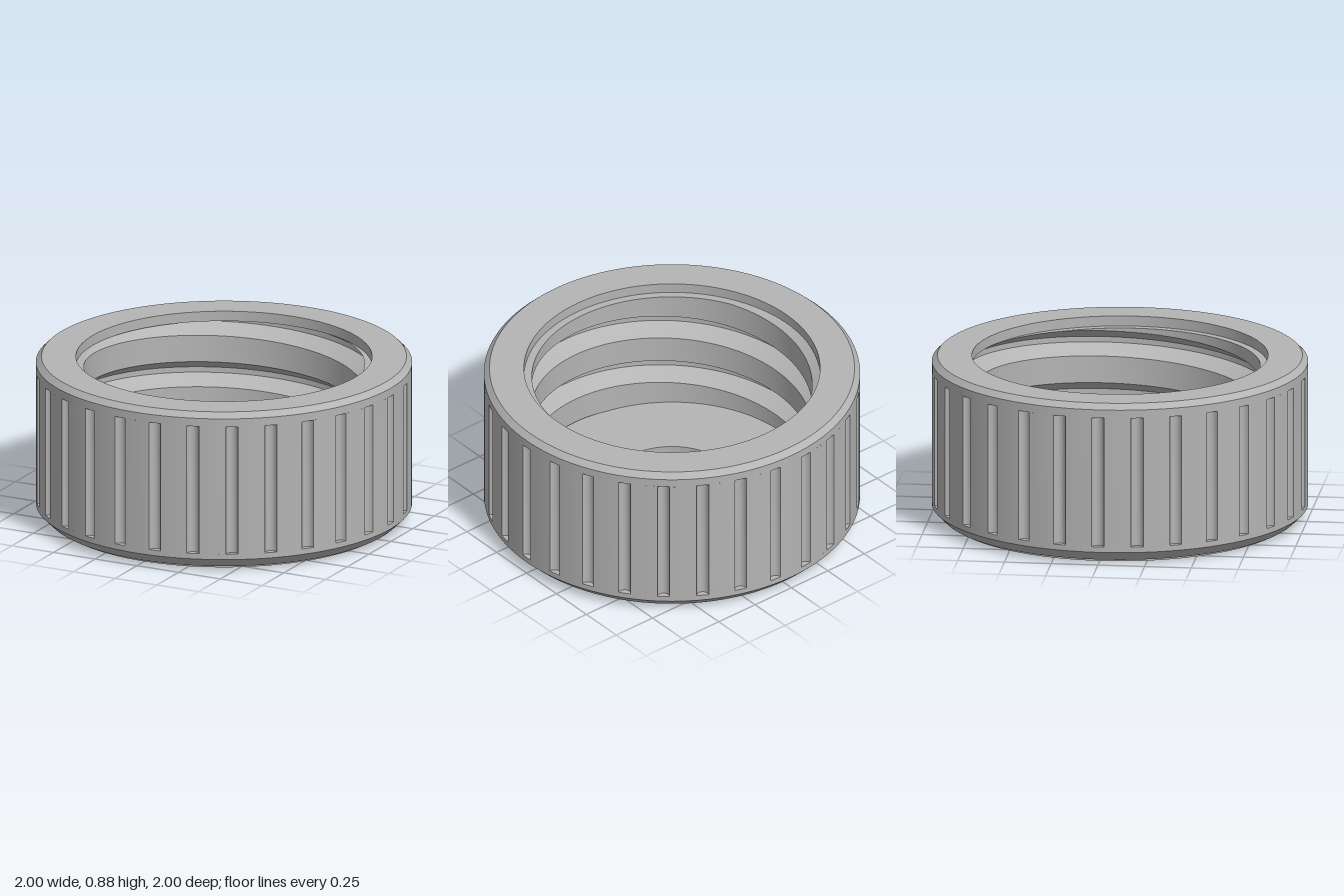
import * as THREE from 'three';
import { toCreasedNormals } from 'three/addons/utils/BufferGeometryUtils.js';

const SEGMENTS = 180;
const FLOOR = 0.15, LEDGE = 0.83;        // heights of the bore floor and the ledge above the thread
const GRIP_LOW = 0.1, GRIP_HIGH = 0.81;  // ends of the grip slots
const CREST = 0.745, DEPTH = 0.085, PITCH = 0.287, START = 0.664;

const polar = (r, y, t) => new THREE.Vector3(r * Math.sin(t), y, r * Math.cos(t));

// Skin over rows of points that each run once around the axis
function skin(rows) {
  const n = rows[0].length, index = [];
  for (let j = 0; j < rows.length - 1; j++) {
    for (let i = 0; i < n - 1; i++) {
      const a = j * n + i, b = a + 1, c = b + n, d = a + n;
      index.push(a, b, d, b, c, d);
    }
  }
  const geometry = new THREE.BufferGeometry().setFromPoints(rows.flat());
  geometry.setIndex(index);
  return geometry;
}

const lathe = (points) =>
  new THREE.LatheGeometry(points.map(([r, y]) => new THREE.Vector2(r, y)), SEGMENTS);

// Radius of the threaded wall: a V-shaped helical groove with a narrow flat root
function threadRadius(y, t) {
  const turns = (y - START) / PITCH - t / (2 * Math.PI);
  const off = Math.abs(turns - Math.round(turns)) * PITCH;
  return CREST + DEPTH * THREE.MathUtils.clamp((0.07 - off) / 0.055, 0, 1);
}

function threadWall() {
  const angles = Array.from({ length: SEGMENTS + 1 }, (_, i) => (i / SEGMENTS) * 2 * Math.PI);
  const rows = [angles.map((t) => polar(0.787, LEDGE, t))];
  for (let k = 1; k >= -4; k--) {
    for (const offset of [0.07, 0.015, -0.015, -0.07]) {
      rows.push(angles.map((t) => {
        const centre = START + PITCH * (k + t / (2 * Math.PI));
        const y = THREE.MathUtils.clamp(centre + offset, FLOOR, LEDGE);
        return polar(threadRadius(y, t), y, t);
      }));
    }
  }
  return skin(rows);
}

// Outer wall with thirty round-bottomed grip slots
function gripWall() {
  const slots = 30, radius = 0.033, step = (2 * Math.PI) / slots;
  const outline = [];
  for (let k = 0; k < slots; k++) {
    const mid = (k + 0.5) * step;
    for (let i = 0; i <= 8; i++) {
      const a = (i / 8) * Math.PI;
      outline.push([1 - radius * Math.sin(a), mid - radius * Math.cos(a)]);
    }
    const land = step - 2 * radius;
    for (let i = 1; i < 5; i++) outline.push([1, mid + radius + (land * i) / 5]);
  }
  outline.push(outline[0]);
  return skin([GRIP_LOW, GRIP_HIGH].map((y) => outline.map(([r, t]) => polar(r, y, t))));
}

export function createModel() {
  const group = new THREE.Group();
  group.name = 'threadedCap';
  const grey = new THREE.MeshStandardMaterial({ color: 0xb4b4b4 });
  grey.name = 'grey';

  const add = (name, geometry) => {
    const mesh = new THREE.Mesh(toCreasedNormals(geometry, 0.5), grey);
    mesh.name = name;
    group.add(mesh);
  };

  // Floor with its centre hole, bottom lip and lower bevel
  add('base', lathe([
    [0.86, FLOOR], [0.33, FLOOR], [0.33, 0.02], [0.345, 0], [0.915, 0], [0.915, 0.012],
    [0.945, 0.016], [0.96, 0.03], [1, 0.07], [1, GRIP_LOW], [0.96, GRIP_LOW],
  ]));
  // Rim with its top bevel and the plain mouth of the bore
  add('rim', lathe([
    [0.96, GRIP_HIGH], [1, GRIP_HIGH], [1, 0.855], [0.97, 0.885], [0.787, 0.885], [0.787, LEDGE],
  ]));
  add('gripWall', gripWall());
  add('internalThread', threadWall());
  return group;
}
